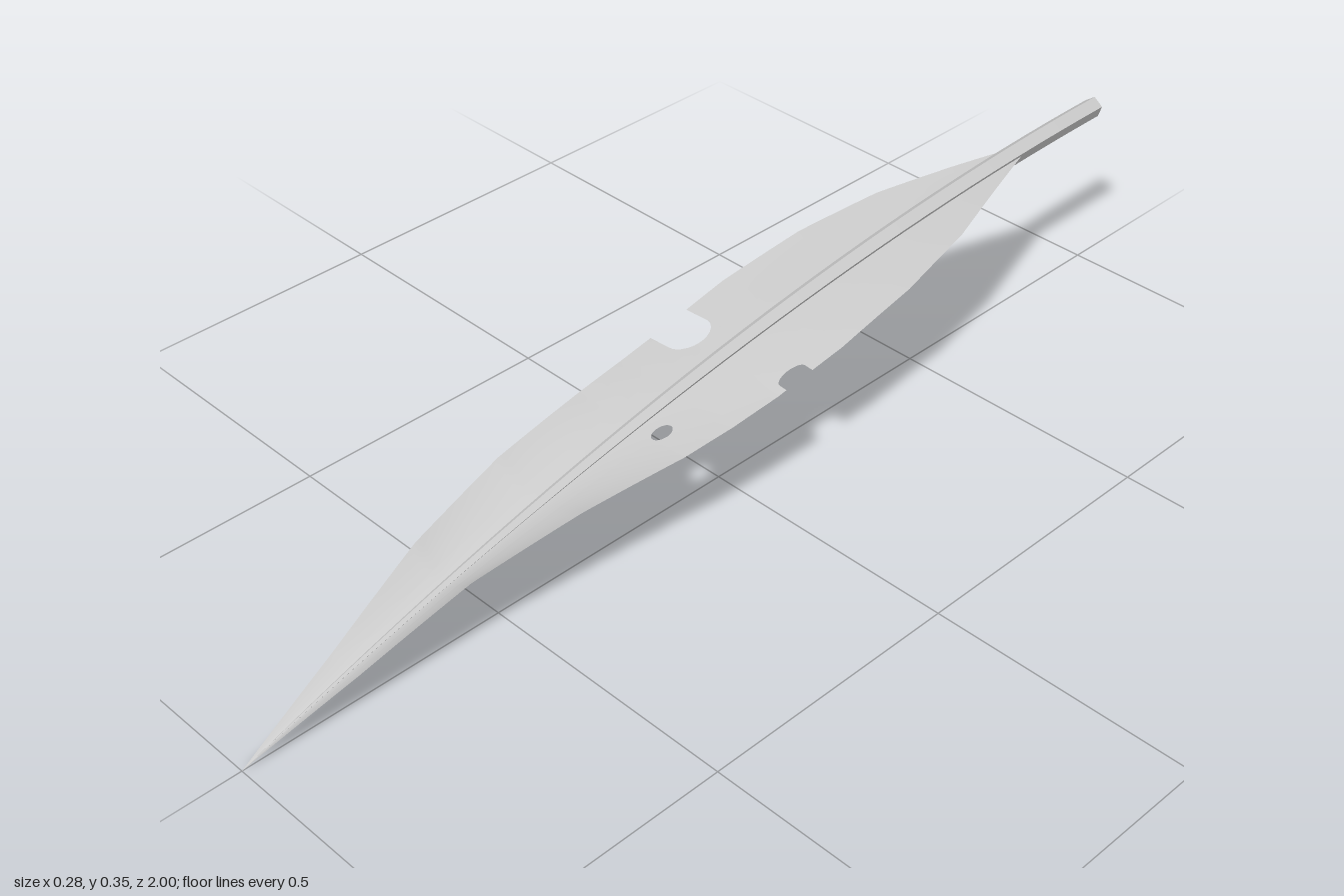
import * as THREE from 'three';

const spineY = (z) => 0.335 - 0.0835 * (z + 1) ** 2;

// Leaf outline rows: [z, half width, lift of the edge above the spine]
const OUTLINE = [
  [-0.77, 0.015, 0], [-0.65, 0.053, 0.002], [-0.5, 0.1, 0.002], [-0.33, 0.13, 0], [-0.15, 0.141, -0.004],
  [0, 0.137, -0.008], [0.1, 0.132, -0.003], [0.2, 0.125, 0.007], [0.4, 0.1, 0.036],
  [0.6, 0.068, 0.045], [0.8, 0.034, 0.018], [1, 0, 0],
];

function outlineAt(z) {
  let i = 0;
  while (i < OUTLINE.length - 2 && z > OUTLINE[i + 1][0]) i++;
  const [a, b] = [OUTLINE[i], OUTLINE[i + 1]];
  const t = (z - a[0]) / (b[0] - a[0]);
  return [1, 2].map((k) => THREE.MathUtils.lerp(a[k], b[k], t));
}

// Height of an ellipse arc at z, zero outside it
const arc = (z, centre, half, depth) => depth * Math.sqrt(Math.max(0, 1 - ((z - centre) / half) ** 2));

// Bites in the edge, and the small hole in the left half
const BITES = { '-1': { z: -0.016, half: 0.044, floor: 0.09, depth: 0.034 }, 1: { z: -0.05, half: 0.03, floor: 0.122, depth: 0.013 } };
const HOLE = { z: 0.18, half: 0.02, depth: 0.014 };

// One half of the blade: two bands of strips that part around the hole
function bladeHalf(side) {
  const bite = BITES[side];
  const rows = [];
  for (let i = 0; i <= 177; i++) rows.push(-0.77 + i * 0.01);
  for (const c of [bite, HOLE]) {
    for (const s of [-1, 1]) for (const k of [0.8, 0.93, 0.98, 0.9999, 1.0001]) rows.push(c.z + s * k * c.half);
  }
  rows.sort((a, b) => a - b);

  const COLS = 4;
  const positions = [], indices = [];
  rows.forEach((z, r) => {
    const [w, lift] = outlineAt(z);
    let outer = w;
    if (Math.abs(z - bite.z) < bite.half) outer = Math.min(w, bite.floor - arc(z, bite.z, bite.half, bite.depth));
    const mid = Math.min(0.4 * w, 0.85 * outer);
    const gap = side > 0 ? arc(z, HOLE.z, HOLE.half, HOLE.depth) : 0;
    for (const [from, to] of [[0, mid - gap], [mid + gap, outer]]) {
      for (let c = 0; c <= COLS; c++) {
        const x = THREE.MathUtils.lerp(from, to, c / COLS);
        const u = w > 0 ? x / w : 0;
        positions.push(side * x, spineY(z) + lift * u ** 1.4, z);
      }
    }
    if (r === 0) return;
    const n = 2 * (COLS + 1);
    for (let c = 0; c < n - 1; c++) {
      if (c === COLS) continue;
      const a = (r - 1) * n + c, b = r * n + c;
      if (side > 0) indices.push(a, b, a + 1, a + 1, b, b + 1);
      else indices.push(a, a + 1, b, a + 1, b + 1, b);
    }
  });
  const geometry = new THREE.BufferGeometry();
  geometry.setAttribute('position', new THREE.Float32BufferAttribute(positions, 3));
  geometry.setIndex(indices);
  geometry.computeVertexNormals();
  return geometry;
}

// Five-sided midrib that follows the spine and tapers to the tip
function midribGeometry() {
  const SEG = 32, SIDES = 5;
  const geometry = new THREE.CylinderGeometry(1, 1, 2, SIDES, SEG);
  const p = geometry.attributes.position;
  for (let i = 0; i < p.count; i++) {
    const z = p.getY(i), y = spineY(z);
    const r = 0.02 * Math.max(0, y - 0.001) / 0.334;
    const slope = Math.atan(0.167 * (z + 1));
    const up = p.getZ(i) * r;
    p.setXYZ(i, -p.getX(i) * r, y + up * Math.cos(slope), z + up * Math.sin(slope));
  }
  return geometry;
}

export function createModel() {
  const leaf = new THREE.Group();
  leaf.name = 'leaf';

  const bladeMaterial = new THREE.MeshStandardMaterial({ color: 0xcccccc, side: THREE.DoubleSide });
  for (const side of [-1, 1]) {
    const blade = new THREE.Mesh(bladeHalf(side), bladeMaterial);
    blade.name = side > 0 ? 'leftBlade' : 'rightBlade';
    leaf.add(blade);
  }

  const midrib = new THREE.Mesh(
    midribGeometry(),
    new THREE.MeshStandardMaterial({ color: 0xcccccc, flatShading: true }),
  );
  midrib.name = 'midrib';
  leaf.add(midrib);
  return leaf;
}
